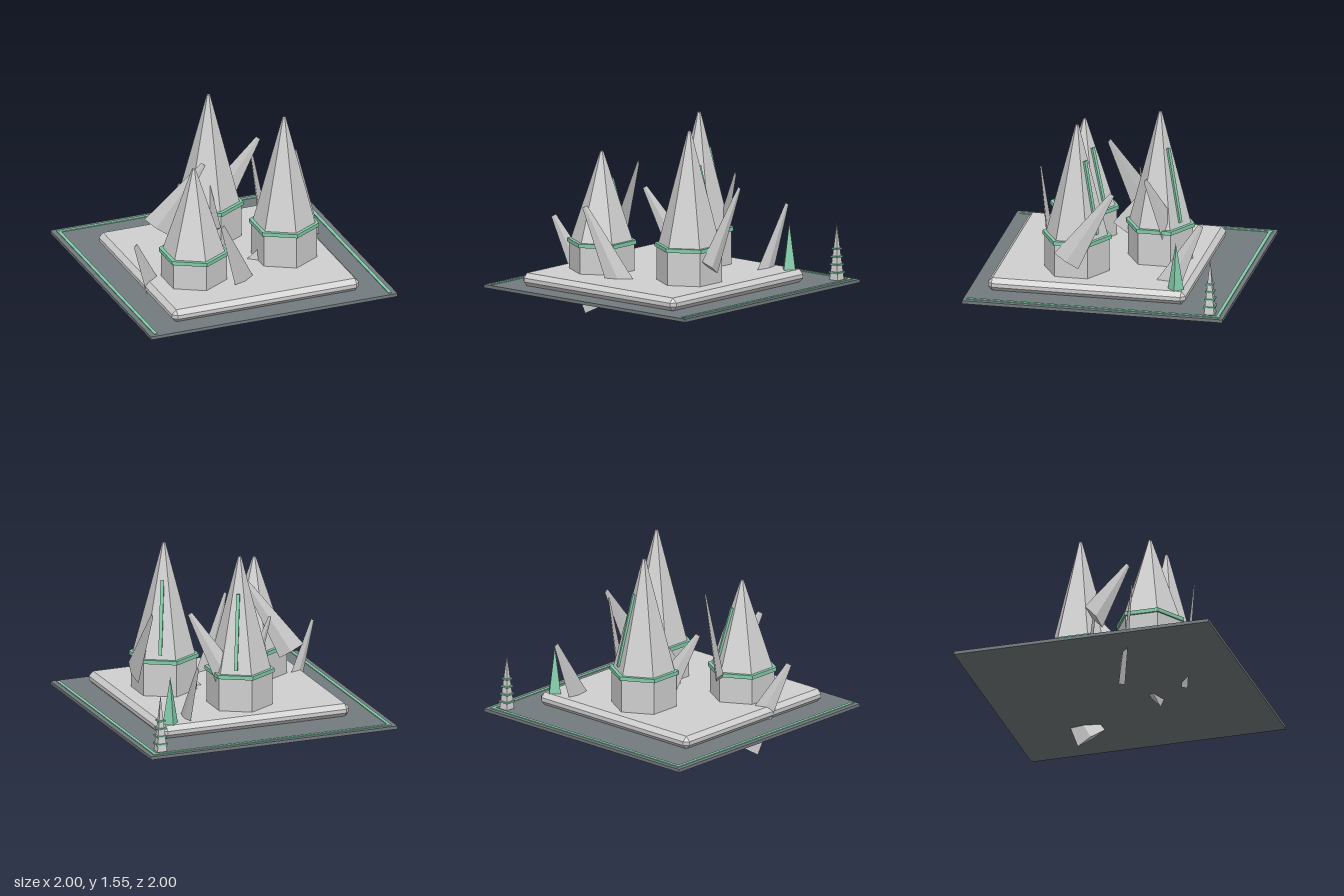
import * as THREE from 'three';
import { ConvexGeometry } from 'three/addons/geometries/ConvexGeometry.js';

const flat = (name, color) => {
  const m = new THREE.MeshStandardMaterial({ color, flatShading: true });
  m.name = name;
  return m;
};

export function createModel() {
  const stone = flat('pale stone', 0xd0d0d0);
  const slate = flat('dark slate', 0x737b7e);
  const mint = flat('mint green', 0x84ccab);
  const model = new THREE.Group();
  model.name = 'crystalCity';

  const add = (name, geometry, material, x, y, z, parent = model) => {
    const mesh = new THREE.Mesh(geometry, material);
    mesh.name = name;
    mesh.position.set(x, y, z);
    parent.add(mesh);
    return mesh;
  };
  // Upright prism or frustum standing between two heights
  const prism = (name, sides, rTop, rBottom, y0, y1, material, x, z, parent, turn = 0) =>
    add(name, new THREE.CylinderGeometry(rTop, rBottom, y1 - y0, sides).rotateY(turn),
      material, x, (y0 + y1) / 2, z, parent);
  // Lay a piece along a line, keeping its local z axis horizontal
  const along = (name, geometry, material, a, b, parent) => {
    const up = b.clone().sub(a).normalize();
    const side = new THREE.Vector3(up.z, 0, -up.x).normalize();
    const wide = new THREE.Vector3().crossVectors(up, side);
    const mid = a.clone().add(b).multiplyScalar(0.5);
    const mesh = add(name, geometry, material, mid.x, mid.y, mid.z, parent);
    mesh.quaternion.setFromRotationMatrix(new THREE.Matrix4().makeBasis(wide, up, side));
    return mesh;
  };

  // Ground plate with a border line on three sides
  add('groundPlate', new THREE.BoxGeometry(2, 0.025, 2), slate, 0, 0.2825, 0);
  for (const s of [-1, 1]) add('sideBorder', new THREE.BoxGeometry(0.026, 0.008, 1.945), mint, s * 0.95, 0.297, 0);
  add('backBorder', new THREE.BoxGeometry(1.93, 0.009, 0.026), mint, 0, 0.297, -0.953);

  // Chamfered platform
  const corners = [];
  for (const x of [-1, 1]) for (const y of [-1, 1]) for (const z of [-1, 1]) {
    corners.push(new THREE.Vector3(x * 0.76, y * 0.015, z * 0.725),
      new THREE.Vector3(x * 0.725, y * 0.015, z * 0.76),
      new THREE.Vector3(x * 0.725, y * 0.05, z * 0.725));
  }
  add('platform', new ConvexGeometry(corners), stone, 0, 0.344, 0.1);

  // Hexagonal towers: drum, collar, spire and one light strip on the back
  const towers = [
    [0, -0.31, 0.663, 1.55],
    [0.387, 0.247, 0.663, 1.54],
    [-0.39, 0.355, 0.612, 1.30],
  ];
  for (const [x, z, ring, top] of towers) {
    const tower = new THREE.Group();
    tower.name = 'tower';
    tower.position.set(x, 0, z);
    model.add(tower);
    prism('drum', 6, 0.25, 0.25, 0.38, ring, stone, 0, 0, tower);
    prism('collar', 6, 0.265, 0.265, ring - 0.015, ring + 0.015, mint, 0, 0, tower);
    prism('spire', 6, 0.013, 0.24, ring, top, stone, 0, 0, tower);
    const h = top - ring;
    const a = new THREE.Vector3(0.1, ring + 0.055 * h, -0.173);
    const b = new THREE.Vector3(0.039, ring + 0.69 * h, -0.067);
    along('lightStrip', new THREE.BoxGeometry(0.026, a.distanceTo(b), 0.026), mint, a, b, tower);
  }

  // Leaning flat shards: wide end, narrow end, half width
  const shards = [
    [[-0.565, 0.056, 0.185], [-0.865, 0.745, 0.36], 0.12],
    [[0, 0.235, 0.505], [-0.285, 0.935, 0.67], 0.12],
    [[0.51, 0.165, -0.38], [0.51, 0.85, -0.73], 0.12],
    [[-0.53, 0.66, -0.045], [-0.22, 1.205, 0.13], 0.108],
    [[0.62, 0.53, 0.28], [0.61, 1.085, -0.07], 0.108],
    [[0.12, 0.26, 0.215], [0.44, 0.77, 0.4], 0.108],
    [[0.108, 0.58, -0.433], [0.39, 1.135, -0.277], 0.108],
    [[-0.06, 0.41, -0.235], [-0.34, 0.965, -0.08], 0.108],
    [[-0.05, 0.56, -0.03], [-0.05, 1.1, -0.36], 0.108],
  ];
  for (const [p, q, r] of shards) {
    const a = new THREE.Vector3(...p), b = new THREE.Vector3(...q);
    const blade = new THREE.CylinderGeometry(r * 0.17, r, a.distanceTo(b), 4).scale(1, 1, 0.2);
    along('shard', blade, stone, a, b);
  }

  // Green crystal on the platform corner
  prism('crystal', 4, 0, 0.062, 0.392, 0.755, mint, 0.67, -0.572);

  // Ringed beacon on the ground corner
  const beacon = new THREE.Group();
  beacon.name = 'beacon';
  beacon.position.set(0.875, 0, -0.88);
  model.add(beacon);
  prism('mast', 4, 0, 0.055, 0.294, 0.73, stone, 0, 0, beacon, Math.PI / 4);
  for (let i = 0; i < 4; i++) {
    const w = 0.088 - i * 0.01;
    add('beaconRing', new THREE.BoxGeometry(w, 0.012, w), mint, 0, 0.352 + i * 0.06, 0, beacon);
  }
  return model;
}
